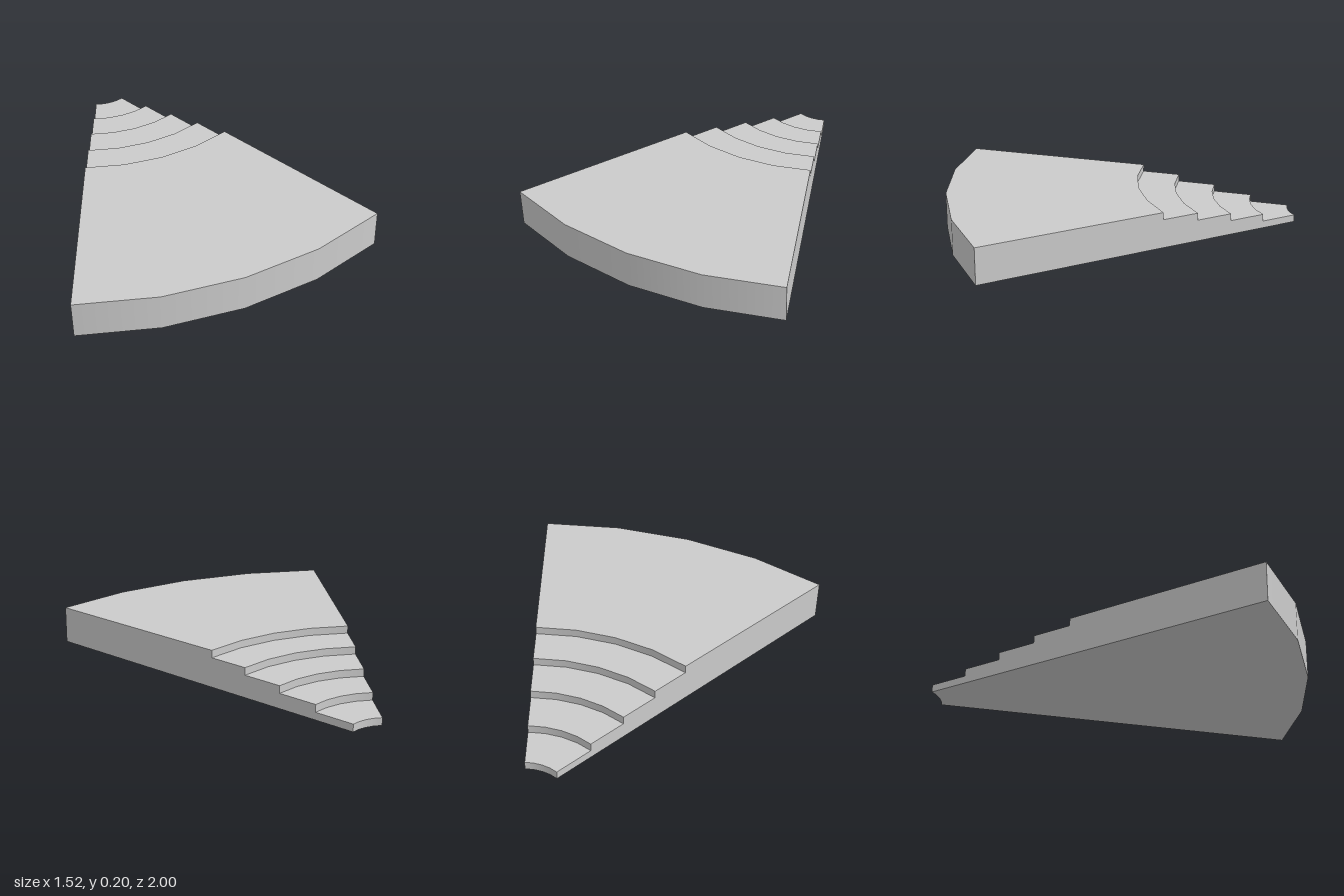
import * as THREE from 'three';

const ANGLE = Math.PI / 4;   // sweep of the wedge
const SEGMENTS = 4;          // facets along each arc
const STEPS = 5;
const TREAD = 0.2154;        // radial depth of one step, also the inner radius
const RISE = 0.0403;         // height of one step
const OUTER = 2.152;

export function createModel() {
  const group = new THREE.Group();
  const material = new THREE.MeshStandardMaterial({ color: 0xcccccc });
  const add = (name, geometry) => {
    const mesh = new THREE.Mesh(geometry, material);
    mesh.name = name;
    group.add(mesh);
  };

  // Stepped cross-section (radius, height), counter-clockwise
  const profile = [
    new THREE.Vector2(TREAD, 0),
    new THREE.Vector2(OUTER, 0),
    new THREE.Vector2(OUTER, STEPS * RISE),
  ];
  for (let i = STEPS; i >= 1; i--) {
    profile.push(new THREE.Vector2(i * TREAD, i * RISE));
    if (i > 1) profile.push(new THREE.Vector2(i * TREAD, (i - 1) * RISE));
  }

  // Each profile edge is swept separately so that the step edges stay sharp
  profile.forEach((a, i) => {
    const b = profile[(i + 1) % profile.length];
    const name = i === 0 ? 'underside' : i === 1 ? 'outerWall' : a.y === b.y ? 'tread' : 'riser';
    add(name, new THREE.LatheGeometry([a, b], SEGMENTS, 0, ANGLE));
  });

  // Flat stepped faces closing both ends of the sweep
  const endFace = (sign) => new THREE.ShapeGeometry(
    new THREE.Shape(profile.map((p) => new THREE.Vector2(sign * p.x, p.y))));
  add('rightSideWall', endFace(1).rotateY(-Math.PI / 2));
  add('leftSideWall', endFace(-1).rotateY(ANGLE + Math.PI / 2));

  // Centre the wedge on the origin
  group.position.set(-OUTER * Math.sin(ANGLE) / 2, 0, -(OUTER + TREAD * Math.cos(ANGLE)) / 2);
  const model = new THREE.Group();
  model.name = 'steppedWedge';
  model.add(group);
  return model;
}
